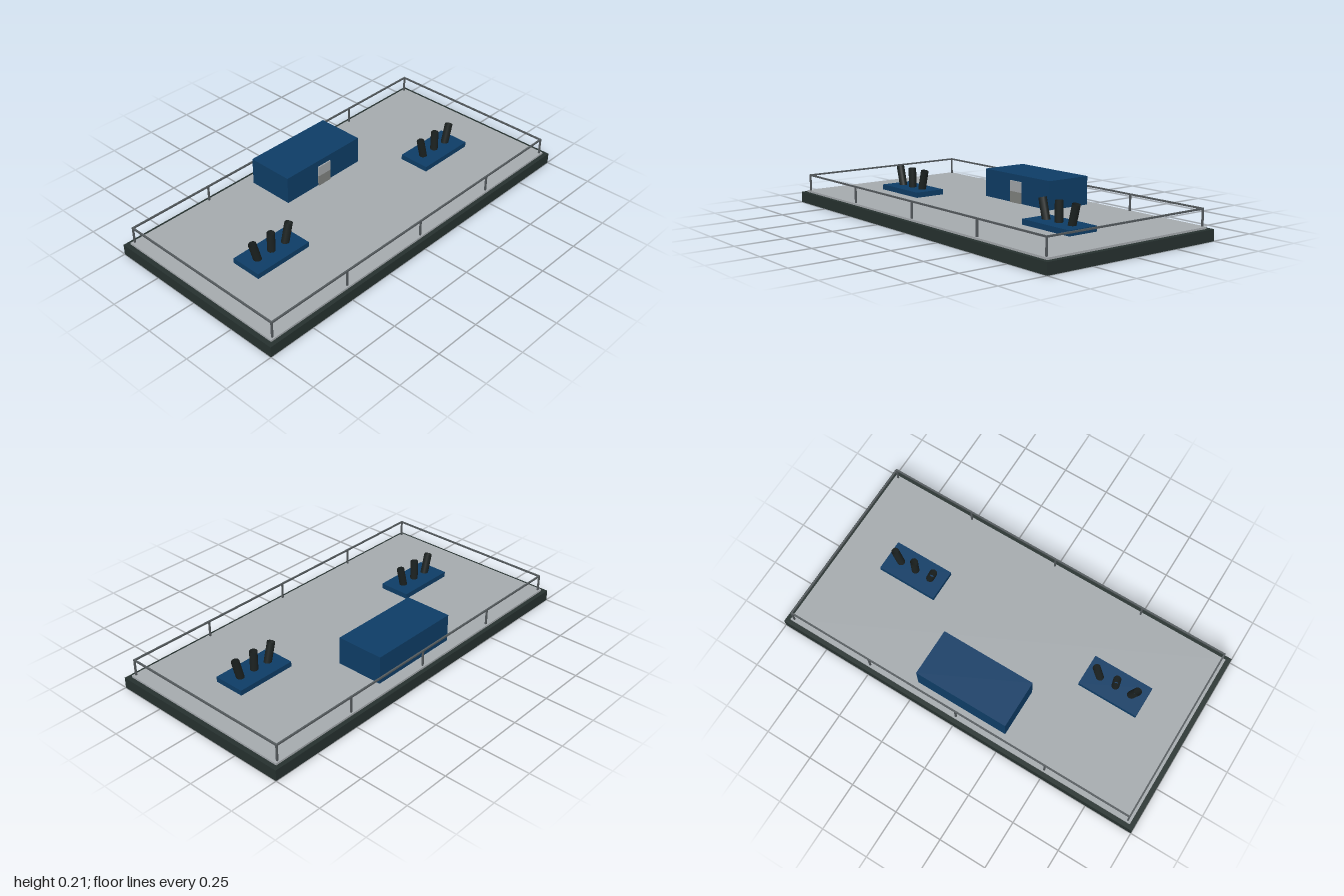
import * as THREE from 'three';

const paint = (name, color) => {
  const m = new THREE.MeshStandardMaterial({ color });
  m.name = name;
  return m;
};

export function createModel() {
  const darkSlab = paint('dark slab', 0x26312f);
  const deckGrey = paint('deck grey', 0xa5aaae);
  const blue = paint('blue', 0x0e3d66);
  const black = paint('black', 0x1c2221);
  black.side = THREE.DoubleSide;
  const railGrey = paint('rail grey', 0x555b5e);
  const doorLight = paint('door light', 0xa3a7aa);
  const doorDark = paint('door dark', 0x80827f);

  const model = new THREE.Group();
  model.name = 'platform';

  // Box given by its centre in x and z, its bottom height and its size
  const box = (parent, name, mat, x, y, z, w, h, d) => {
    const mesh = new THREE.Mesh(new THREE.BoxGeometry(w, h, d), mat);
    mesh.name = name;
    mesh.position.set(x, y + h / 2, z);
    parent.add(mesh);
    return mesh;
  };

  // Slab and deck
  box(model, 'base', darkSlab, 0, 0, 0, 2, 0.056, 1);
  box(model, 'deck', deckGrey, 0, 0.056, 0, 1.95, 0.01, 0.956);

  // Cabin with a two-tone door
  const cabin = new THREE.Group();
  cabin.name = 'cabin';
  box(cabin, 'cabinBody', blue, 0, 0.066, -0.292, 0.5, 0.144, 0.25);
  box(cabin, 'doorLower', doorDark, 0, 0.066, -0.1635, 0.082, 0.057, 0.007);
  box(cabin, 'doorUpper', doorLight, 0, 0.123, -0.1635, 0.082, 0.054, 0.007);
  model.add(cabin);

  // Two pads, each with three open tubes fanning outwards
  const tube = new THREE.CylinderGeometry(0.02, 0.02, 0.107, 12, 1, true);
  for (const side of [-1, 1]) {
    const unit = new THREE.Group();
    unit.name = side > 0 ? 'leftTubeUnit' : 'rightTubeUnit';
    unit.position.set(side * 0.582, 0, 0.066);
    box(unit, 'pad', blue, 0, 0.066, 0, 0.32, 0.027, 0.165);
    for (const i of [-1, 0, 1]) {
      const mesh = new THREE.Mesh(tube, black);
      mesh.name = 'tube';
      mesh.position.set(i * 0.1, 0.14, 0);
      mesh.rotation.z = -i * 0.26;
      unit.add(mesh);
    }
    model.add(unit);
  }

  // Railing: posts along the long edges, a top bar all round
  const railing = new THREE.Group();
  railing.name = 'railing';
  const t = 0.008, rx = 0.958, rz = 0.467, top = 0.152;
  for (const s of [-1, 1]) {
    for (const x of [-rx, -0.5, 0, 0.5, rx]) {
      box(railing, 'post', railGrey, x, 0.066, s * rz, t, top - t - 0.066, t);
    }
    box(railing, 'longRail', railGrey, 0, top - t, s * rz, 2 * rx + t, t, t);
    box(railing, 'sideRail', railGrey, s * rx, top - t, 0, t, t, 2 * rz - t);
  }
  model.add(railing);

  return model;
}
